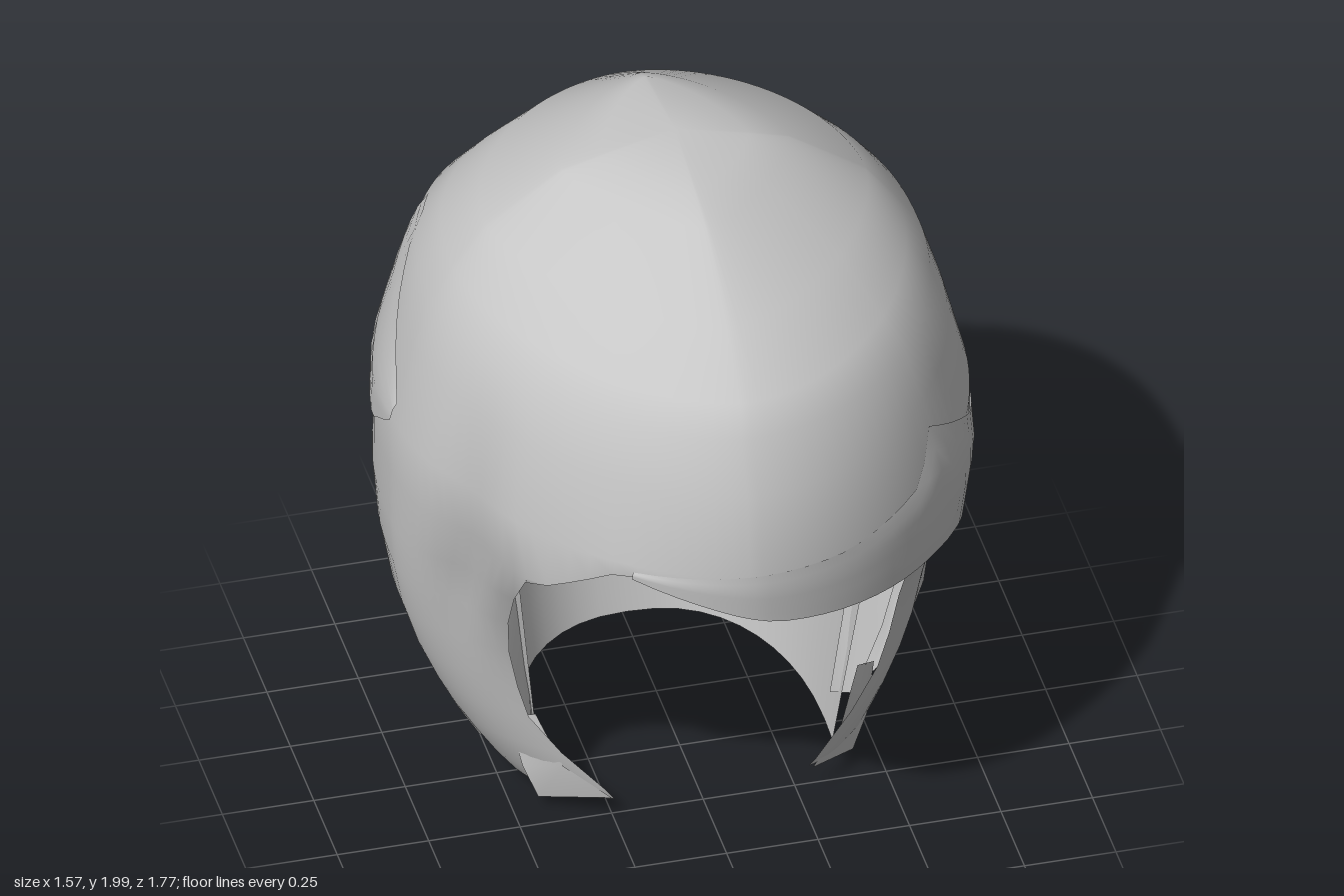
import * as THREE from 'three';
import { mergeVertices } from 'three/addons/utils/BufferGeometryUtils.js';

const rad = Math.PI / 180, midZ = -0.05;

// Horizontal sections: height, half width, front z, back z
const rows = [
  [2, 0, -0.05, -0.05], [1.95, 0.2, 0.18, -0.36], [1.92, 0.31, 0.3, -0.42], [1.78, 0.52, 0.56, -0.62],
  [1.66, 0.61, 0.74, -0.7], [1.57, 0.67, 0.78, -0.76], [1.43, 0.715, 0.85, -0.8], [1.2, 0.775, 0.89, -0.855],
  [1.03, 0.78, 0.87, -0.865], [0.86, 0.78, 0.64, -0.88], [0.72, 0.77, 0.5, -0.855],
  [0.58, 0.745, 0.41, -0.825], [0.45, 0.705, 0.38, -0.8], [0.34, 0.66, 0.37, -0.75],
  [0.23, 0.605, 0.375, -0.69], [0.12, 0.54, 0.37, -0.64], [0.03, 0.47, 0.34, -0.56],
];

// Hollows: angle, height, angular radius, height radius, depth
const dents = [
  [188, 0.38, 15, 0.13, 0.15], [121, 0.3, 12, 0.13, 0.1], [90, 0.36, 10, 0.16, 0.06],
  [-62, 0.95, 8, 0.3, 0.05], [-112, 0.28, 14, 0.12, 0.08], [70, 0.45, 7, 0.2, 0.04],
  [90, 0.68, 40, 0.18, 0.045], [84, 0.64, 6, 0.09, 0.08],
];

// Lower edge of the shell: angle from the front (towards +x), height
const fringeEdge = [[-48, 1.0], [-30, 1.17], [-5, 1.06], [5, 1.03], [36, 0.98], [48, 0.93]];
const napeEdge = [
  [48, 0.1], [62, 0.06], [76, 0.08], [80, 0.28], [86, 0.14], [100, 0.05], [112, 0.05], [122, 0.08], [126, 0.2],
  [130, 0.09], [150, 0.11], [165, 0.1], [180, 0.1], [196, 0.12], [212, 0.09], [220, 0.08], [226, 0.2], [232, 0.06],
  [250, 0.04], [274, 0.12], [280, 0.28], [285, 0.05], [298, 0.04], [312, 0.08],
];

// Linear lookup in a list of [key, value, ...]
function lookup(list, key, k = 1) {
  if (key <= list[0][0]) return list[0][k];
  for (let i = 1; i < list.length; i++) {
    const a = list[i - 1], b = list[i];
    if (key <= b[0]) return a[k] + (b[k] - a[k]) * (key - a[0]) / (b[0] - a[0]);
  }
  return list[list.length - 1][k];
}

const risingRows = [...rows].reverse();

// Point on the head form: rounded sections that turn to a diamond near the top
function surface(deg, y, offset = 0, ry = y) {
  const w = lookup(risingRows, ry, 1), f = lookup(risingRows, ry, 2), b = lookup(risingRows, ry, 3);
  const s = Math.sin(deg * rad), c = Math.cos(deg * rad);
  const full = c < 0 ? 2.4 : s < 0 ? 1.72 : 1.9;
  const n = 1.2 + (full - 1.2) * Math.min(1, (2 - ry) / 0.4);
  const x = Math.sign(s) * Math.abs(s) ** (2 / n) * (w + offset);
  const depth = (c > 0 ? f - midZ : midZ - b) + offset;
  return [x, y, midZ + Math.sign(c) * Math.abs(c) ** (2 / n) * depth];
}

// Shell point: surface with hollows and lock tips swept forward
function shellPoint(deg, y) {
  let d = deg > 180 ? deg - 360 : deg;
  const a = Math.abs(d);
  if (y < 0.3 && a >= 48 && a < 80) d -= Math.sign(d) * 15 * Math.min(1, (0.3 - y) / 0.2) * (80 - a) / 32;
  const p = surface(d, y);
  for (const [da, dy, ra, ry, depth] of dents) {
    const diff = ((deg - da + 540) % 360) - 180;
    const k = depth * Math.exp(-((diff / ra) ** 2) - ((y - dy) / ry) ** 2);
    const r = Math.hypot(p[0], p[2] - midZ) || 1;
    p[0] *= 1 - k / r;
    p[2] = midZ + (p[2] - midZ) * (1 - k / r);
  }
  return p;
}

// Joins columns of points into a smooth sheet, left open where an angle repeats
function sheet(columns, angles = null) {
  const pos = [], idx = [], n = columns[0].length;
  columns.forEach(col => col.forEach(p => pos.push(...p)));
  const equal = (p, q) => Math.hypot(p[0] - q[0], p[1] - q[1], p[2] - q[2]) < 1e-5;
  for (let j = 0; j + 1 < columns.length; j++) {
    if (angles && angles[j] === angles[j + 1]) continue;
    for (let i = 0; i + 1 < n; i++) {
      const a = columns[j][i], b = columns[j][i + 1], c = columns[j + 1][i], d = columns[j + 1][i + 1];
      const v = j * n + i;
      if (!equal(a, b) && !equal(b, d)) idx.push(v, v + 1, v + n + 1);
      if (!equal(c, d) && !equal(a, c)) idx.push(v, v + n + 1, v + n);
    }
  }
  let g = new THREE.BufferGeometry();
  g.setAttribute('position', new THREE.Float32BufferAttribute(pos, 3));
  g.setIndex(idx);
  g = mergeVertices(g, 1e-4);
  g.computeVertexNormals();
  return g;
}

// Raised lock lying over the shell: angle, lower height, upper height
function overlay(keys, offset, steps = 32) {
  const cols = [];
  for (let j = 0; j <= steps; j++) {
    const a = keys[0][0] + (keys[keys.length - 1][0] - keys[0][0]) * j / steps;
    const lo = lookup(keys, a, 1), hi = lookup(keys, a, 2), col = [];
    for (let i = 0; i <= 6; i++) {
      const y = hi + (lo - hi) * i / 6;
      const lift = offset * Math.min(1, 0.3 + i / 3) - 0.14 * Math.max(0, 1.03 - y);
      col.push(surface(a, y, lift, Math.max(y, 1.03)));
    }
    cols.push(col);
  }
  return sheet(cols);
}

export function createModel() {
  const group = new THREE.Group();
  const grey = new THREE.MeshStandardMaterial({ color: 0xc6c6c6, side: THREE.DoubleSide });
  grey.name = 'grey';
  const add = (name, geometry) => {
    const mesh = new THREE.Mesh(geometry, grey);
    mesh.name = name;
    group.add(mesh);
  };

  // Main shell with the face opening and ragged nape
  const angles = [], columns = [];
  const addColumns = (from, to, steps, edge) => {
    for (let j = 0; j <= steps; j++) {
      const a = from + (to - from) * j / steps, bottom = lookup(edge, a);
      angles.push(a);
      columns.push(rows.map(r => shellPoint(a, Math.max(r[0], bottom))));
    }
  };
  addColumns(-48, 48, 24, fringeEdge);
  addColumns(48, 312, 88, napeEdge);
  add('hairShell', sheet(columns, angles));

  // Swept fringe over the left side and a flat lock on the right
  add('sweptFringe', overlay([[-28, 1.16, 1.18], [-5, 1.06, 1.2], [5, 1.03, 1.2], [20, 1.0, 1.2], [42, 0.96, 1.24],
    [47, 0.95, 1.36], [57, 0.91, 1.27], [70, 0.83, 1.16], [78, 0.78, 1.12], [95, 0.78, 1.01], [107, 0.94, 0.945]], 0.01));
  add('rightLock', overlay([[-122, 1.3, 1.6], [-113, 1.1, 1.6], [-100, 1.06, 1.42], [-88, 1.2, 1.25]], 0.01, 10));

  // Inner neck layer, a curved strip inside the back reaching forward at the sides
  const neck = [];
  for (let j = 0; j <= 24; j++) {
    const t = (-98 + 196 * j / 24) * rad, s = Math.sin(t), c = Math.cos(t), col = [];
    for (let i = 0; i <= 6; i++) {
      const u = i / 6;
      const y = 0.93 - u * (0.88 + 0.04 * s * s);
      const x = Math.sign(s) * Math.abs(s) ** 0.85 * (0.51 - 0.11 * u);
      col.push([x, y, 0.06 - 0.08 * u - Math.sign(c) * Math.abs(c) ** 0.85 * (0.76 - 0.22 * u)]);
    }
    neck.push(col);
  }
  add('neckLayer', sheet(neck));

  // Curled lock tips beside the face and flaps joining the locks to the neck layer
  for (const [side, x] of [[1, 0.29], [-1, 0.26]]) {
    const label = side > 0 ? 'left' : 'right';
    add(label + 'LockTip', sheet([
      [[side * 0.44, 0.32, 0.18], [side * 0.38, 0.18, 0.24], [side * x, 0.09, 0.29]],
      [[side * 0.5, 0.28, 0.12], [side * 0.47, 0.14, 0.16], [side * 0.43, 0.04, 0.17]],
    ]));
    add(label + 'Flap', sheet([
      [[side * 0.46, 0.67, 0.08], [side * 0.43, 0.4, 0.06], [side * 0.4, 0.14, 0.04]],
      [[side * 0.58, 0.72, 0.18], [side * 0.51, 0.43, 0.17], [side * 0.44, 0.2, 0.14]],
    ]));
  }
  return group;
}
